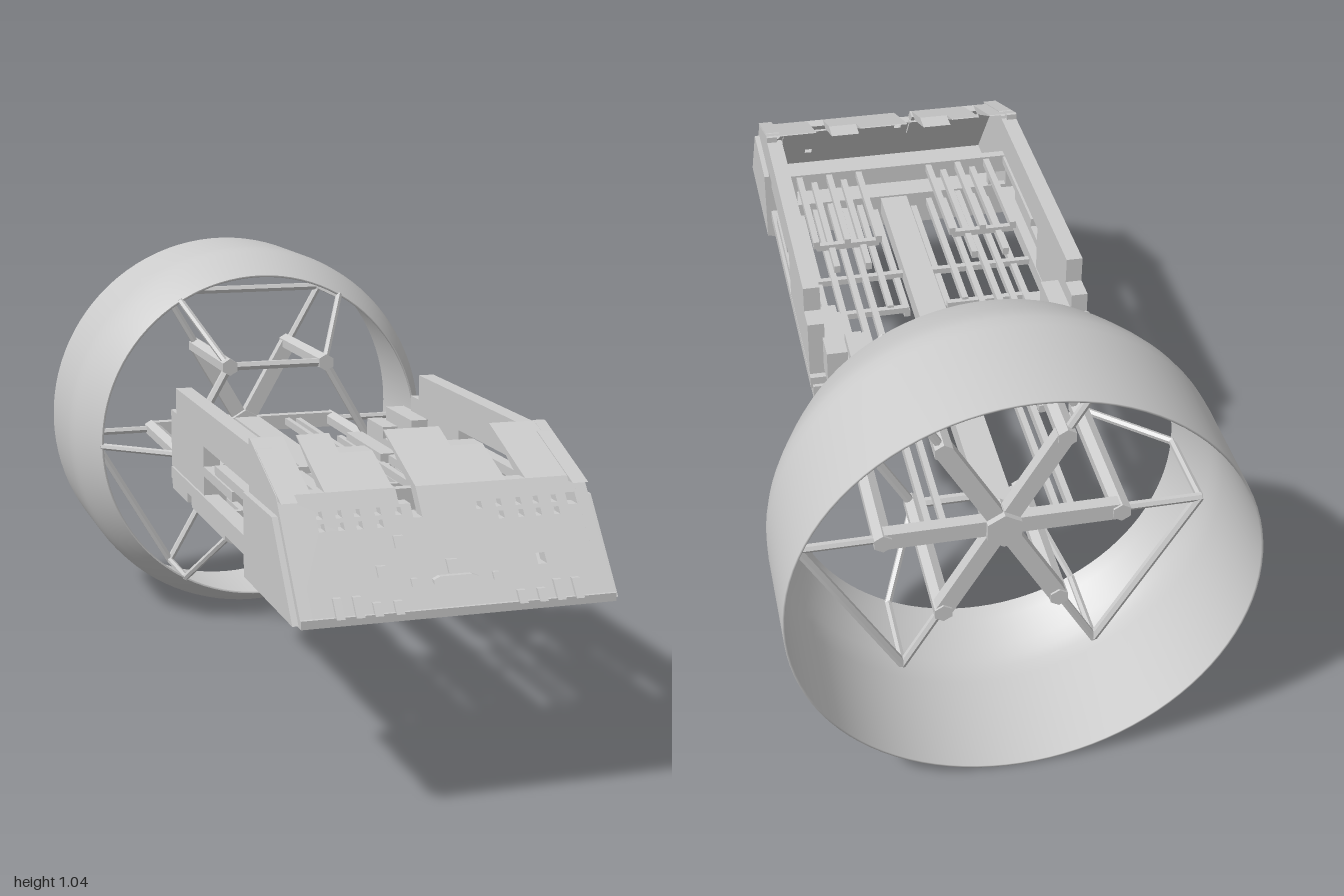
import * as THREE from 'three';

const mat = new THREE.MeshStandardMaterial({ color: 0xcccccc, side: THREE.DoubleSide });
const flat = new THREE.MeshStandardMaterial({ color: 0xcccccc, flatShading: true });
const CY = 0.52; // height of the ring axis

export function createModel() {
  const model = new THREE.Group();

  const group = (name) => {
    const g = new THREE.Group();
    g.name = name;
    model.add(g);
    return g;
  };
  const add = (parent, name, geo, material = mat) => {
    const m = new THREE.Mesh(geo, material);
    m.name = name;
    parent.add(m);
    return m;
  };
  // Box given by its extents
  const box = (parent, name, x0, x1, y0, y1, z0, z1) =>
    add(parent, name, new THREE.BoxGeometry(x1 - x0, y1 - y0, z1 - z0))
      .position.set((x0 + x1) / 2, (y0 + y1) / 2, (z0 + z1) / 2);
  const pair = (parent, name, x0, x1, ...rest) => {
    box(parent, name, x0, x1, ...rest);
    box(parent, name, -x1, -x0, ...rest);
  };
  // Hexagonal bar between two points
  const bar = (parent, name, a, b, r) => {
    const d = b.clone().sub(a);
    const m = add(parent, name, new THREE.CylinderGeometry(r, r, d.length(), 6), flat);
    m.position.copy(a).add(b).multiplyScalar(0.5);
    m.quaternion.setFromUnitVectors(new THREE.Vector3(0, 1, 0), d.normalize());
  };
  const polar = (r, i, z) => {
    const a = i * Math.PI / 3;
    return new THREE.Vector3(r * Math.cos(a), CY + r * Math.sin(a), z);
  };

  // Thin drum with a tapered front shoulder
  const outer = [[0.457, -0.553], [0.472, -0.583], [0.487, -0.617], [0.5, -0.648], [0.511, -0.678], [0.517, -0.705], [0.519, -0.74], [0.519, -1]];
  const profile = outer.map(([r, z]) => new THREE.Vector2(r, z));
  const inner = outer.slice().reverse().map(([r, z]) => new THREE.Vector2(r - 0.005, z));
  const drum = add(model, 'ringDrum', new THREE.LatheGeometry([...profile, ...inner, profile[0].clone()], 96).rotateX(Math.PI / 2));
  drum.position.y = CY;

  // Hexagonal truss carrying the drum
  const truss = group('ringTruss');
  const zF = -0.395, zR = -0.76;
  for (let i = 0; i < 6; i++) {
    bar(truss, 'trussLongeron', polar(0.27, i, -0.38), polar(0.27, i, zR - 0.02), 0.023);
    bar(truss, 'frontHexTie', polar(0.27, i, zF), polar(0.27, i + 1, zF), 0.012);
    bar(truss, 'rimBrace', polar(0.27, i, zF), polar(0.455, i, -0.56), 0.009);
    bar(truss, 'rimLongeron', polar(0.453, i, -0.555), polar(0.456, i, zR), 0.009);
    bar(truss, 'radialRod', polar(0.27, i, zR), polar(0.46, i, zR), 0.01);
    const spoke = add(truss, 'hubSpoke', new THREE.BoxGeometry(0.27, 0.042, 0.03));
    spoke.position.copy(polar(0.135, i, zR));
    spoke.rotation.z = i * Math.PI / 3;
    if (i % 2) bar(truss, 'outerTie', polar(0.456, i, zR), polar(0.456, i + 1, zR), 0.011);
  }
  bar(truss, 'hub', new THREE.Vector3(0, CY, zR - 0.03), new THREE.Vector3(0, CY, zR + 0.03), 0.045);

  // Sloped nose plating: outlines in the front plane, sheared back by height
  const nose = group('nose');
  const lowZ = (y) => 0.99 - (y - 0.475) * 0.81;
  const topZ = (y) => 0.816 - (y - 0.69) * 2.6;
  const slope = (name, pts, holes, zAt, thick) => {
    const shape = new THREE.Shape(pts.map(([x, y]) => new THREE.Vector2(x, y)));
    for (const [x, y, w] of holes) {
      const h = w / 2;
      shape.holes.push(new THREE.Path([[-h, -h], [-h, h], [h, h], [h, -h]]
        .map(([a, b]) => new THREE.Vector2(x + a, y + b))));
    }
    const g = new THREE.ExtrudeGeometry(shape, { depth: thick, bevelEnabled: false });
    const p = g.attributes.position;
    // the plates stop flush with the rear of the nose
    for (let i = 0; i < p.count; i++) p.setZ(i, Math.max(0.603, p.getZ(i) - thick + zAt(p.getY(i))));
    g.computeVertexNormals();
    add(nose, name, g);
  };
  const rect = (x0, x1, y0, y1) => [[x0, y0], [x1, y0], [x1, y1], [x0, y1]];

  const holes = [[0.303, 0.648, 0.022], [0.2, 0.545, 0.02], [-0.09, 0.648, 0.014], [0.09, 0.648, 0.014]];
  for (const x of [0.135, 0.18, 0.22, 0.262])
    for (const s of [-1, 1])
      for (const y of [0.628, 0.65]) holes.push([s * x, y, 0.014]);
  slope('lowerSlope', [[-0.345, 0.475], [0.345, 0.475], [0.345, 0.69], [-0.04, 0.69], [-0.04, 0.634],
    [-0.06, 0.634], [-0.06, 0.66], [-0.085, 0.66], [-0.085, 0.69], [-0.345, 0.69]], holes, lowZ, 0.035);
  for (const s of [-1, 1])
    slope('holeBacking', rect(s * 0.18 - 0.1, s * 0.18 + 0.1, 0.605, 0.67), [], (y) => lowZ(y) - 0.03, 0.015);
  for (const [x0, x1, y1] of [[-0.345, -0.27, 0.77], [-0.24, -0.165, 0.77], [-0.165, -0.09, 0.742],
    [-0.04, 0.09, 0.77], [0.09, 0.165, 0.742], [0.21, 0.345, 0.77]])
    slope('upperSlopeTab', rect(x0, x1, 0.69, y1), [], topZ, 0.055);

  // Raised details on the nose
  for (const x of [0.135, 0.18, 0.22, 0.262])
    for (const s of [-1, 1])
      slope('noseLug', rect(s * x - 0.009, s * x + 0.009, 0.472, x > 0.2 ? 0.508 : 0.495), [], lowZ, -0.01);
  for (const [x, y, w] of [[0, 0.546, 0.024], [-0.155, 0.546, 0.02], [-0.104, 0.595, 0.022], [-0.09, 0.523, 0.014], [0.09, 0.523, 0.014]])
    slope('noseStud', rect(x - w / 2, x + w / 2, y - w / 2, y + w / 2), [], lowZ, -0.008);
  slope('noseHandle', [[-0.05, 0.518], [-0.035, 0.512], [0.035, 0.512], [0.05, 0.518], [0.05, 0.526],
    [0.035, 0.531], [-0.035, 0.531], [-0.05, 0.526]], [], lowZ, -0.012);
  for (const s of [-1, 1])
    slope('noseCornerPlate', rect(s * 0.325 - 0.018, s * 0.325 + 0.018, 0.68, 0.755), [], (y) => topZ(y) + 0.006, 0.03);

  // Nose floor and cheeks
  box(nose, 'noseFloor', -0.345, 0.345, 0.457, 0.475, 0.6, 0.998);
  const profileZY = (pts) => new THREE.Shape(pts.map(([z, y]) => new THREE.Vector2(-z, y)));
  const cheek = profileZY([[0.6, 0.46], [0.99, 0.46], [0.99, 0.475], [0.816, 0.69], [0.61, 0.77], [0.6, 0.77]]);
  const skirt = profileZY([[0.6, 0.46], [0.98, 0.46], [0.83, 0.65], [0.6, 0.65]]);
  for (const [name, shape, x, t] of [['noseCheek', cheek, 0.318, 0.027], ['noseSkirt', skirt, 0.345, 0.013]])
    for (const x0 of [x, -x - t]) {
      const g = new THREE.ExtrudeGeometry(shape, { depth: t, bevelEnabled: false }).rotateY(Math.PI / 2);
      add(nose, name, g).position.x = x0;
    }
  box(nose, 'rearSill', -0.32, 0.32, 0.475, 0.55, 0.6, 0.62);
  box(nose, 'rodCarrier', -0.32, 0.32, 0.59, 0.64, 0.605, 0.63);
  pair(nose, 'rearPost', 0.27, 0.29, 0.475, 0.64, 0.605, 0.63);

  // Side walls: upper rail, rear panel and stepped tail blocks
  const sides = group('sideWalls');
  pair(sides, 'upperRail', 0.305, 0.345, 0.665, 0.755, -0.11, 0.61);
  pair(sides, 'rearPanel', 0.305, 0.345, 0.545, 0.67, -0.17, 0.18);
  pair(sides, 'panelStep', 0.305, 0.345, 0.62, 0.69, -0.17, -0.1);
  pair(sides, 'midRail', 0.31, 0.34, 0.615, 0.637, 0.27, 0.61);
  pair(sides, 'midRailStep', 0.31, 0.345, 0.592, 0.615, 0.15, 0.45);
  pair(sides, 'lowerRail', 0.305, 0.345, 0.51, 0.54, -0.18, 0.61);
  pair(sides, 'bottomRail', 0.31, 0.335, 0.485, 0.505, 0, 0.61);
  for (const [x0, x1, y0, y1, z0, z1] of [
    [0.26, 0.31, 0.56, 0.65, -0.24, -0.04], [0.23, 0.3, 0.5, 0.58, -0.31, 0.02],
    [0.21, 0.25, 0.59, 0.62, -0.25, -0.12], [0.18, 0.225, 0.54, 0.565, -0.34, -0.05],
    [0.22, 0.3, 0.465, 0.49, -0.24, -0.04], [0.17, 0.205, 0.44, 0.47, -0.24, -0.04],
    [0.28, 0.34, 0.48, 0.52, -0.19, -0.02]])
    pair(sides, 'tailBlock', x0, x1, y0, y1, z0, z1);

  // Central spine and the bundle of lengthwise rods in two tiers
  const core = group('rodBundle');
  box(core, 'spine', -0.035, 0.038, 0.495, 0.545, zR, 0.62);
  for (const [x, y, z0] of [[0.055, 0.5, 0.1], [0.098, 0.52, 0.1], [0.14, 0.515, -0.07], [0.18, 0.535, -0.4],
    [0.222, 0.52, -0.24], [0.262, 0.505, 0.1], [0.098, 0.625, 0.27], [0.14, 0.605, 0.18],
    [0.18, 0.625, 0.27], [0.222, 0.605, 0.18], [0.262, 0.625, 0.27]])
    pair(core, 'lengthRod', x - 0.008, x + 0.008, y - 0.01, y + 0.01, z0, 0.625);
  for (const [x0, x1, y, z] of [[0.05, 0.268, 0.515, 0.1], [0, 0.31, 0.515, 0.26], [0.098, 0.262, 0.615, 0.278],
    [0.122, 0.23, 0.525, -0.07], [0.122, 0.23, 0.525, -0.24]])
    pair(core, 'crossRod', x0, x1, y - 0.008, y + 0.008, z - 0.008, z + 0.008);
  pair(core, 'rearRail', 0.122, 0.136, 0.512, 0.532, zR, -0.07);
  pair(core, 'rearSideRail', 0.155, 0.17, 0.505, 0.53, zR, -0.24);

  return model;
}
